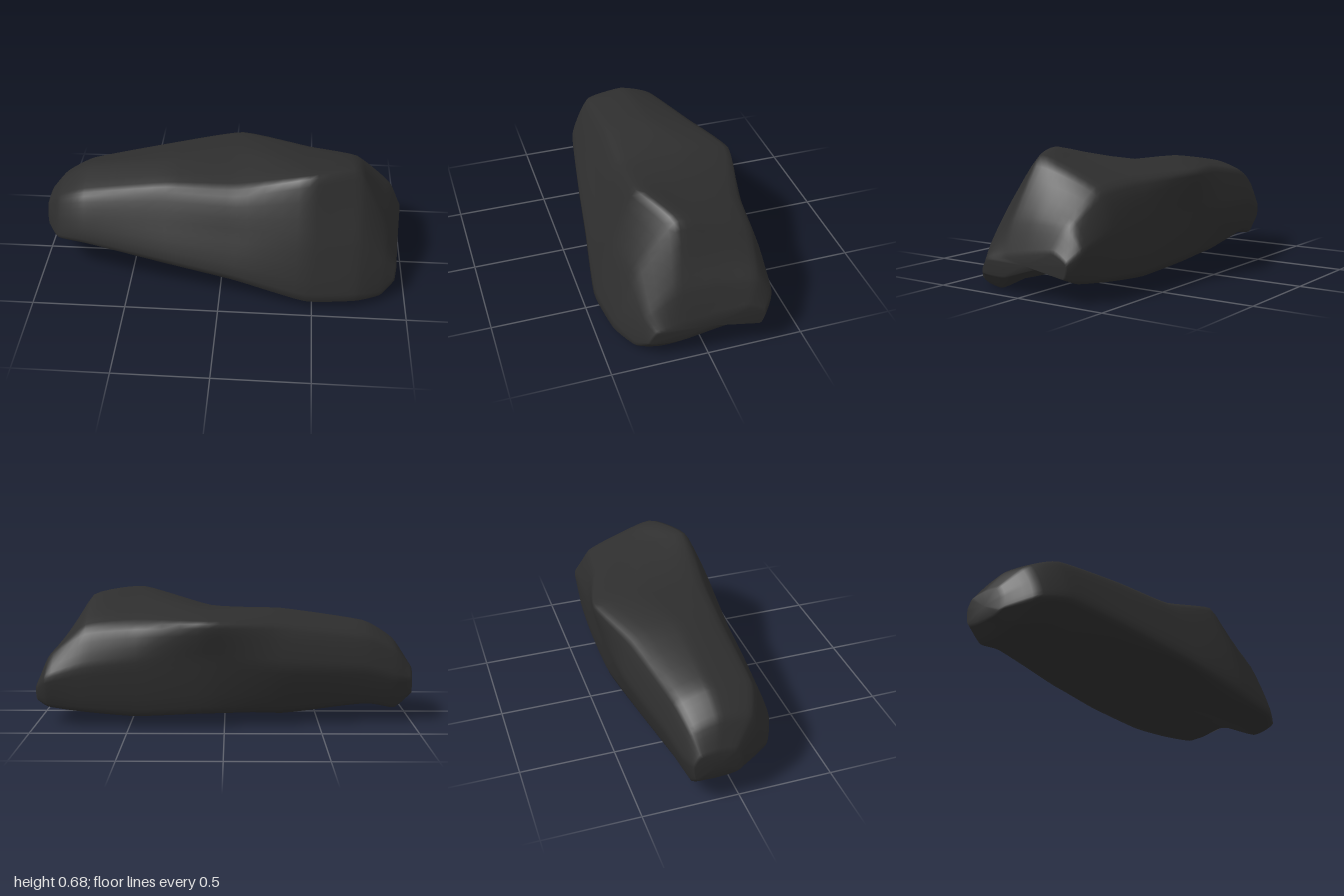
import * as THREE from 'three';

// Cross-sections along x. Each loop of [z, y] runs: front foot, top front,
// top, top back, back face, back foot, hollow underside, front underside.
const stations = [-1, -0.91, -0.75, -0.3, 0.08, 0.46, 0.73, 0.9, 0.971];
const sections = [
  [[0, 0.17], [-0.03, 0.29], [-0.12, 0.3], [-0.2, 0.29], [-0.23, 0.24], [-0.22, 0.16], [-0.14, 0.15], [-0.05, 0.155]],
  [[0.175, 0.21], [0.08, 0.41], [-0.08, 0.435], [-0.22, 0.39], [-0.268, 0.25], [-0.22, 0.082], [-0.11, 0.08], [0.04, 0.12]],
  [[0.25, 0.235], [0.14, 0.49], [-0.08, 0.53], [-0.25, 0.47], [-0.305, 0.3], [-0.255, 0.115], [-0.12, 0.09], [0.1, 0.15]],
  [[0.328, 0.18], [0.15, 0.555], [-0.08, 0.595], [-0.33, 0.54], [-0.387, 0.33], [-0.315, 0.09], [-0.2, 0.045], [0.08, 0.1]],
  [[0.385, 0.13], [0.18, 0.575], [-0.18, 0.602], [-0.435, 0.56], [-0.41, 0.38], [-0.365, 0.08], [-0.13, 0.085], [0.15, 0.09]],
  [[0.443, 0.055], [0.21, 0.68], [0.03, 0.65], [-0.33, 0.545], [-0.388, 0.35], [-0.355, 0.06], [-0.05, 0.11], [0.23, 0.008]],
  [[0.415, 0.05], [0.1, 0.645], [-0.06, 0.615], [-0.3, 0.515], [-0.376, 0.32], [-0.345, 0.08], [-0.09, 0.14], [0.23, 0.018]],
  [[0.345, 0.04], [0.13, 0.36], [-0.04, 0.385], [-0.26, 0.37], [-0.35, 0.26], [-0.31, 0.1], [-0.1, 0.15], [0.2, 0.008]],
  [[0.28, 0.09], [0.12, 0.18], [-0.03, 0.21], [-0.2, 0.24], [-0.29, 0.2], [-0.27, 0.13], [-0.1, 0.15], [0.12, 0.09]],
];
const AROUND = 45;
const ALONG = 40;

function rockGeometry() {
  const spline = (points, closed) => new THREE.CatmullRomCurve3(points, closed, 'catmullrom', 0.25);

  // Smooth each loop, with a bulging front face; the +x end bulges most
  // and leans so that its back reaches furthest
  const loops = sections.map((section, i) => {
    const x = stations[i];
    const lean = 0.1 * THREE.MathUtils.smoothstep(x, 0.72, 0.92);
    const bulge = 0.015 + 0.03 * THREE.MathUtils.smoothstep(x, 0.3, 0.8);
    const points = section.map(([z, y]) => new THREE.Vector3(x - lean * z, y, z));
    const frontMiddle = points[0].clone().lerp(points[1], 0.5);
    frontMiddle.z += bulge;
    frontMiddle.y += bulge / 2;
    points.splice(1, 0, frontMiddle);
    return spline(points, true);
  });

  // Join the loops lengthwise, column by column
  const positions = [];
  for (let j = 0; j < AROUND; j++) {
    const column = spline(loops.map((loop) => loop.getPoint(j / AROUND)), false);
    for (let i = 0; i <= ALONG; i++) positions.push(...column.getPoint(i / ALONG).toArray());
  }
  const at = (i, j) => (j % AROUND) * (ALONG + 1) + i;
  const index = [];
  for (let j = 0; j < AROUND; j++) {
    for (let i = 0; i < ALONG; i++) {
      const a = at(i, j), b = at(i + 1, j), c = at(i + 1, j + 1), d = at(i, j + 1);
      index.push(a, b, c, a, c, d);
    }
  }

  // Close both ends with fans
  for (const end of [0, ALONG]) {
    const centre = new THREE.Vector3();
    for (let j = 0; j < AROUND; j++) {
      centre.add(new THREE.Vector3().fromArray(positions, at(end, j) * 3));
    }
    const hub = positions.length / 3;
    positions.push(...centre.divideScalar(AROUND).toArray());
    for (let j = 0; j < AROUND; j++) {
      if (end === 0) index.push(hub, at(end, j), at(end, j + 1));
      else index.push(hub, at(end, j + 1), at(end, j));
    }
  }

  const geometry = new THREE.BufferGeometry();
  geometry.setAttribute('position', new THREE.Float32BufferAttribute(positions, 3));
  geometry.setIndex(index);
  geometry.computeVertexNormals();
  return geometry;
}

export function createModel() {
  const group = new THREE.Group();
  group.name = 'boulder';
  const rock = new THREE.Mesh(rockGeometry(), new THREE.MeshStandardMaterial({ color: 0x2e2e2e }));
  rock.name = 'rock';
  group.add(rock);
  return group;
}
